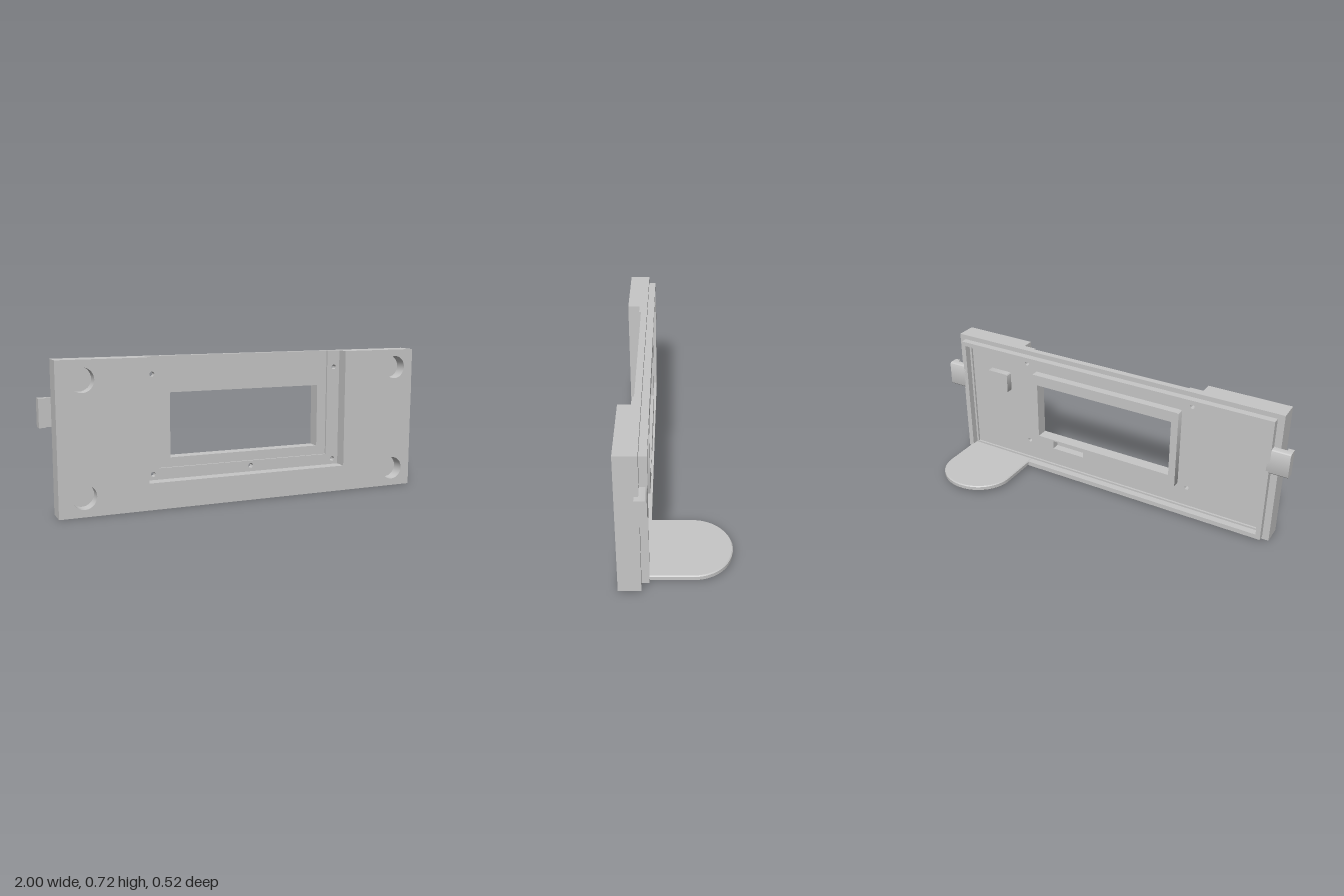
import * as THREE from 'three';
import { toCreasedNormals } from 'three/addons/utils/BufferGeometryUtils.js';

const grey = new THREE.MeshStandardMaterial({ color: 0xc6c6c6 });
grey.name = 'light grey';

// Closed shape from corner points
const poly = (pts) => new THREE.Shape(pts.map(([x, y]) => new THREE.Vector2(x, y)));
const rect = (x0, x1, y0, y1) => poly([[x0, y0], [x1, y0], [x1, y1], [x0, y1]]);
const circle = (x, y, r) => new THREE.Path().absarc(x, y, r, 0, Math.PI * 2, true);

function roundRect(x0, x1, y0, y1, r) {
  const s = new THREE.Shape();
  s.absarc(x1 - r, y1 - r, r, 0, Math.PI / 2);
  s.absarc(x0 + r, y1 - r, r, Math.PI / 2, Math.PI);
  s.absarc(x0 + r, y0 + r, r, Math.PI, Math.PI * 1.5);
  s.absarc(x1 - r, y0 + r, r, Math.PI * 1.5, Math.PI * 2);
  s.closePath();
  return s;
}

export function createModel() {
  const model = new THREE.Group();
  model.name = 'mountingBezel';

  const add = (name, geometry) => {
    const mesh = new THREE.Mesh(toCreasedNormals(geometry, 0.6), grey);
    mesh.name = name;
    model.add(mesh);
  };
  // Slab between two z depths, with holes
  const slab = (name, shape, z0, z1, holes = []) => {
    shape.holes.push(...holes);
    const g = new THREE.ExtrudeGeometry(shape, { depth: z1 - z0, bevelEnabled: false, curveSegments: 16 });
    add(name, g.translate(0, 0, z0));
  };

  const L = -0.94, R = 0.938, H = 0.722;
  // Plate outline with a recess that is open at the top
  const uShape = (x0, x1, y) => poly([[L, 0], [R, 0], [R, H], [x1, H], [x1, y], [x0, y], [x0, H], [L, H]]);
  const screws = () => [[-0.473, 0.158], [0.503, 0.158], [-0.473, 0.638], [0.503, 0.638], [0.037, 0.16]]
    .map(([x, y]) => circle(x, y, 0.012));
  const opening = () => rect(-0.382, 0.414, 0.232, 0.547);

  // Front plate: stepped recess, round corner sockets, window
  const sockets = [[-0.82, 0.63], [0.832, 0.63], [-0.82, 0.093], [0.832, 0.093]].map(([x, y]) => circle(x, y, 0.058));
  slab('frontPlate', uShape(-0.512, 0.535, 0.13), 0.2, 0.262, sockets);
  slab('recessStep', uShape(-0.442, 0.465, 0.185), 0.19, 0.2, screws());
  slab('backPanel', rect(L, R, 0, H), 0.168, 0.19, [opening(), ...screws()]);

  // Back edge, raised rim and window surround
  slab('backEdge', rect(L, R, 0, H), 0.157, 0.168, [rect(-0.868, 0.868, 0.05, 0.666)]);
  slab('backRim', rect(-0.905, 0.903, 0.015, 0.697), 0.121, 0.157, [rect(-0.88, 0.88, 0.04, 0.674)]);
  slab('windowSurround', roundRect(-0.42, 0.452, 0.165, 0.605, 0.012), 0.126, 0.168,
    [opening(), rect(0.13, 0.32, 0.178, 0.224)]);

  // Raised pad on the back
  slab('backPad', roundRect(0.615, 0.745, 0.447, 0.557, 0.01), 0.13, 0.168);

  // Hooked side clips, rounded on their back edges
  for (const side of [-1, 1]) {
    const arm = new THREE.Shape();
    const y0 = 0.411, y1 = 0.546, r = 0.015, back = 0.121;
    arm.moveTo(-0.157, y0);
    arm.lineTo(-back - r, y0);
    arm.absarc(-back - r, y0 + r, r, -Math.PI / 2, 0);
    arm.absarc(-back - r, y1 - r, r, 0, Math.PI / 2);
    arm.lineTo(-0.157, y1);
    const g = new THREE.ExtrudeGeometry(arm, { depth: 0.11, bevelEnabled: false, curveSegments: 8 });
    g.rotateY(Math.PI / 2).translate(side > 0 ? 0.89 : -1, 0, 0);
    add(side > 0 ? 'leftClip' : 'rightClip', g);
    const hook = new THREE.BoxGeometry(0.03, y1 - y0, 0.02).translate(side * 0.985, (y0 + y1) / 2, 0.166);
    add(side > 0 ? 'leftHook' : 'rightHook', hook);
  }

  // Round-ended foot reaching backwards
  const foot = new THREE.Shape();
  foot.moveTo(0.49, -0.157);
  foot.lineTo(0.89, -0.157);
  foot.lineTo(0.89, 0.077);
  foot.absellipse(0.69, 0.077, 0.2, 0.185, 0, Math.PI, false, 0);
  foot.closePath();
  const footGeometry = new THREE.ExtrudeGeometry(foot, {
    depth: 0.018, bevelThickness: 0.005, bevelSize: 0.005, bevelOffset: -0.005, bevelSegments: 1, curveSegments: 32,
  });
  add('foot', footGeometry.rotateX(-Math.PI / 2).translate(0, 0.02, 0));

  return model;
}
